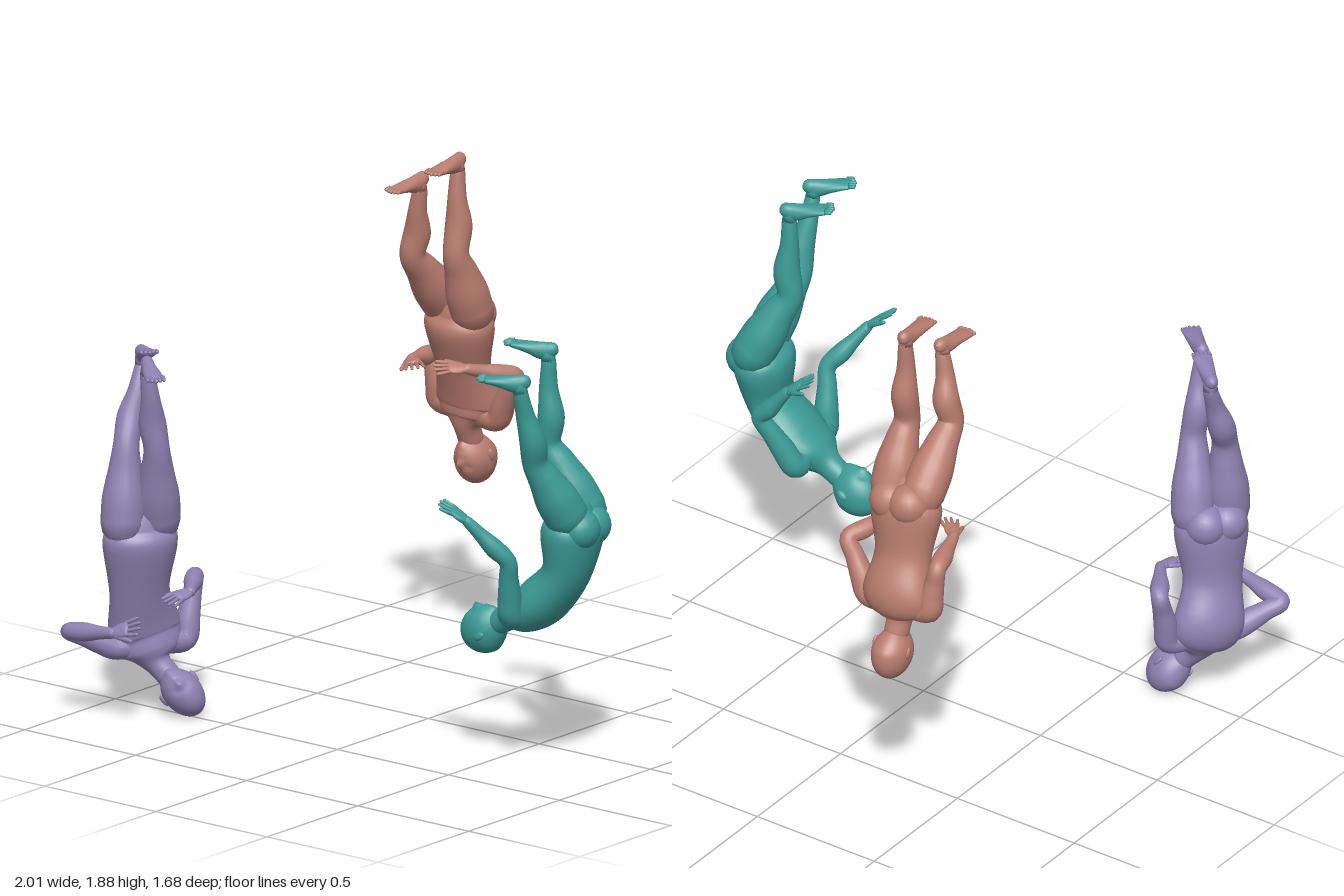
import * as THREE from 'three';

const V = (a) => new THREE.Vector3(...a);
const mix = (a, b, t) => a.clone().lerp(b, t);
const UP = new THREE.Vector3(0, 1, 0);

// Smooth closed skin through elliptical sections [centre, half width, half depth]
function loft(sections, depthHint, sides = 20, steps = 6) {
  const path = new THREE.CatmullRomCurve3(sections.map((s) => s[0]), false, 'catmullrom', 0.5);
  const size = new THREE.CatmullRomCurve3(sections.map((s) => new THREE.Vector3(s[1], s[2], 0)), false, 'catmullrom', 0.5);
  const n = (sections.length - 1) * steps;
  const rings = [];
  for (let i = 0; i <= n; i++) {
    const r = size.getPoint(i / n);
    rings.push({ p: path.getPoint(i / n), t: path.getTangent(i / n), a: r.x, b: r.y });
  }
  // rounded ends
  const dome = (ring, sign) => [0.5, 1, 1.54].map((k) => ({
    p: ring.p.clone().addScaledVector(ring.t, sign * Math.sin(k) * Math.min(ring.a, ring.b)),
    t: ring.t, a: ring.a * Math.cos(k), b: ring.b * Math.cos(k),
  }));
  const all = [...dome(rings[0], -1).reverse(), ...rings, ...dome(rings[n], 1)];
  const pos = [], idx = [];
  all.forEach(({ p, t, a, b }, i) => {
    const s = depthHint.clone().cross(t).normalize();
    const d = t.clone().cross(s).normalize();
    for (let j = 0; j < sides; j++) {
      const th = (j / sides) * Math.PI * 2;
      const q = p.clone().addScaledVector(s, a * Math.cos(th)).addScaledVector(d, b * Math.sin(th));
      pos.push(q.x, q.y, q.z);
      if (i < all.length - 1) {
        const k = i * sides + j, m = i * sides + ((j + 1) % sides);
        idx.push(k, m, k + sides, m, m + sides, k + sides);
      }
    }
  });
  const g = new THREE.BufferGeometry();
  g.setAttribute('position', new THREE.Float32BufferAttribute(pos, 3));
  g.setIndex(idx);
  g.computeVertexNormals();
  return g;
}

// Head: sphere shaped into skull, jaw, nose, lips, chin and eye sockets
function headGeometry() {
  const g = new THREE.SphereGeometry(1, 40, 32);
  const P = g.attributes.position;
  const bump = (x, y, cx, cy, w, h) => Math.exp(-(((x - cx) / w) ** 2) - ((y - cy) / h) ** 2);
  for (let i = 0; i < P.count; i++) {
    const x = P.getX(i), y = P.getY(i), low = Math.max(0, -y);
    let z = P.getZ(i);
    if (z > 0) {
      z += 0.2 * bump(x, y, 0, -0.22, 0.12, 0.16) + 0.07 * bump(x, y, 0, -0.55, 0.22, 0.08)
        + 0.12 * bump(x, y, 0, -0.82, 0.3, 0.16) - 0.09 * bump(Math.abs(x), y, 0.36, -0.06, 0.17, 0.1);
    } else z *= 1 - 0.35 * low;
    P.setXYZ(i, x * (1 - 0.38 * low * low) * 0.069, y * 0.1, z * 0.086);
  }
  g.computeVertexNormals();
  return g;
}

// Radii at equal steps: three down the upper segment, four down the lower one
const LEG = [0.078, 0.076, 0.06, 0.046, 0.048, 0.034, 0.026];
const ARM = [0.045, 0.042, 0.035, 0.031, 0.034, 0.025, 0.019];

const limb = ([a, b, c], radii, calfShift) => radii.map((r, k) => {
  const p = k < 3 ? mix(a, b, k / 3) : mix(b, c, (k - 3) / 3);
  if (k === 4) p.add(calfShift);
  return [p, r, r];
});

// Pose: spine = hips, waist, chest, neck; legs = knee, ankle, toe; arms = elbow, wrist, fingertip
function figure(name, color, pose) {
  const group = new THREE.Group();
  group.name = name;
  const material = new THREE.MeshStandardMaterial({ color });
  const add = (part, geometry, parent = group) => {
    const m = new THREE.Mesh(geometry, material);
    m.name = part;
    parent.add(m);
    return m;
  };
  const face = V(pose.facing).normalize();
  const crown = V(pose.crown).normalize();
  const [hips, waist, chest, neck] = pose.spine.map(V);
  const down = hips.clone().sub(waist).normalize();
  const side = face.clone().cross(down).normalize();
  const head = neck.clone().addScaledVector(crown, 0.135);

  // torso and neck
  add('torso', loft([
    [hips.clone().addScaledVector(down, 0.06), 0.095, 0.07], [hips, 0.135, 0.105], [waist, 0.108, 0.082],
    [chest, 0.132, 0.09], [mix(chest, neck, 0.6), 0.115, 0.07], [neck, 0.052, 0.05], [mix(neck, head, 0.5), 0.043, 0.045],
  ], face, 32));

  // head with ears
  const across = crown.clone().cross(face).normalize();
  const skull = add('head', headGeometry());
  skull.position.copy(head);
  skull.quaternion.setFromRotationMatrix(new THREE.Matrix4().makeBasis(across, crown, across.clone().cross(crown)));
  for (const s of [-1, 1]) {
    const ear = add('ear', new THREE.SphereGeometry(1, 12, 10), skull);
    ear.scale.set(0.008, 0.023, 0.014);
    ear.position.set(s * 0.069, -0.014, -0.008);
    ear.rotation.y = s * -0.3;
  }

  // legs, buttocks and feet
  pose.legs.forEach((points, i) => {
    const [knee, ankle, toe] = points.map(V);
    const hip = hips.clone().addScaledVector(down, 0.07).addScaledVector(side, i ? -0.066 : 0.066);
    add('leg', loft(limb([hip, knee, ankle], LEG, face.clone().multiplyScalar(-0.012)), face));
    add('buttock', new THREE.SphereGeometry(0.075, 20, 14)).position.copy(mix(hip, hips, 0.4)).addScaledVector(face, -0.045);

    const forward = toe.clone().sub(ankle).setY(0).normalize();
    const heel = ankle.clone().addScaledVector(UP, 0.07).addScaledVector(forward, -0.035);
    const sole = (t, drop, w = 0) => mix(heel, toe, t).addScaledVector(UP, -drop)
      .addScaledVector(UP.clone().cross(forward), w);
    add('foot', loft([
      [sole(0.12, 0.026), 0.023, 0.026], [sole(0.3, 0.032), 0.026, 0.032],
      [sole(0.55, 0.022), 0.031, 0.022], [sole(0.85, 0.012), 0.035, 0.012],
    ], UP, 16, 4));
    add('ankle', loft([[ankle, 0.026, 0.026], [sole(0.22, 0.03), 0.024, 0.026]], face, 14, 3));
    for (let k = -2; k <= 2; k++) {
      const tip = sole(0.99 - Math.abs(k) * 0.02, 0.008, k * 0.014);
      add('toe', loft([[sole(0.85, 0.008, k * 0.014), 0.008, 0.008], [tip, 0.007, 0.007]], UP, 8, 2));
    }
  });

  // arms and hands
  pose.arms.forEach((points, i) => {
    const [elbow, wrist, tip] = points.map(V);
    const collar = mix(chest, neck, 0.45);
    const shoulder = collar.clone().addScaledVector(side, i ? -0.13 : 0.13);
    const width = elbow.clone().sub(shoulder).cross(wrist.clone().sub(elbow)).normalize();
    add('arm', loft([[mix(shoulder, collar, 0.5), 0.05, 0.05],
      ...limb([shoulder, elbow, wrist], ARM, new THREE.Vector3())], width, 18));

    const along = tip.clone().sub(wrist).normalize();
    width.addScaledVector(along, -width.dot(along)).normalize();
    const flat = width.clone().cross(along);
    const at = (l, w, h = 0) => wrist.clone().addScaledVector(along, l).addScaledVector(width, w).addScaledVector(flat, h);
    add('palm', loft([[at(0, 0), 0.017, 0.015], [at(0.03, 0), 0.028, 0.013], [at(0.062, 0), 0.028, 0.01]], flat, 14, 4));
    for (let k = -1.5; k <= 1.5; k++) {
      const w = k * 0.015, length = 0.056 - 0.005 * k * k;
      add('finger', loft([[at(0.058, w), 0.0075, 0.0075],
        [at(0.06 + length, w * 1.4, 0.008), 0.0055, 0.0055]], flat, 8, 3));
    }
    add('thumb', loft([[at(0.015, -0.016), 0.01, 0.01], [at(0.07, -0.045, 0.014), 0.007, 0.007]], flat, 8, 3));
  });
  return group;
}

export function createModel() {
  const model = new THREE.Group();
  model.name = 'fallingFigures';
  model.add(figure('purpleFigure', 0x8f83b3, {
    facing: [0.85, 0, 0.52],
    crown: [0.66, -0.72, -0.2],
    spine: [[-0.79, 0.66, 0.62], [-0.81, 0.47, 0.6], [-0.83, 0.32, 0.55], [-0.78, 0.2, 0.54]],
    legs: [[[-0.82, 1.01, 0.66], [-0.83, 1.27, 0.56], [-0.73, 1.36, 0.64]],
      [[-0.7, 1.01, 0.64], [-0.7, 1.29, 0.69], [-0.57, 1.32, 0.8]]],
    arms: [[[-0.97, 0.33, 0.79], [-0.75, 0.37, 0.82], [-0.64, 0.42, 0.81]],
      [[-0.74, 0.48, 0.38], [-0.63, 0.48, 0.54], [-0.64, 0.47, 0.66]]],
  }));
  model.add(figure('salmonFigure', 0xb97d70, {
    facing: [0, 0, 1],
    crown: [0, -0.94, -0.34],
    spine: [[-0.375, 1.24, -0.63], [-0.39, 1.08, -0.67], [-0.4, 0.95, -0.72], [-0.405, 0.85, -0.71]],
    legs: [[[-0.43, 1.52, -0.44], [-0.38, 1.77, -0.42], [-0.39, 1.8, -0.27]],
      [[-0.3, 1.53, -0.52], [-0.3, 1.83, -0.53], [-0.29, 1.86, -0.37]]],
    arms: [[[-0.55, 1.08, -0.69], [-0.5, 1.11, -0.52], [-0.4, 1.12, -0.42]],
      [[-0.17, 1.07, -0.69], [-0.25, 1.12, -0.52], [-0.34, 1.14, -0.42]]],
  }));
  model.add(figure('tealFigure', 0x3b9a96, {
    facing: [-0.9, 0.45, 0.15],
    crown: [-0.86, -0.51, 0],
    spine: [[0.88, 0.92, 0.28], [0.86, 0.77, 0.29], [0.76, 0.65, 0.3], [0.62, 0.57, 0.3]],
    legs: [[[0.77, 1.22, 0.28], [0.78, 1.52, 0.29], [0.64, 1.59, 0.36]],
      [[0.85, 1.2, 0.45], [0.85, 1.47, 0.53], [0.73, 1.53, 0.62]]],
    arms: [[[0.77, 0.81, 0.1], [0.66, 0.95, 0.11], [0.56, 1.04, 0.14]],
      [[0.75, 0.83, 0.48], [0.65, 0.98, 0.58], [0.57, 1.06, 0.64]]],
  }));
  return model;
}
